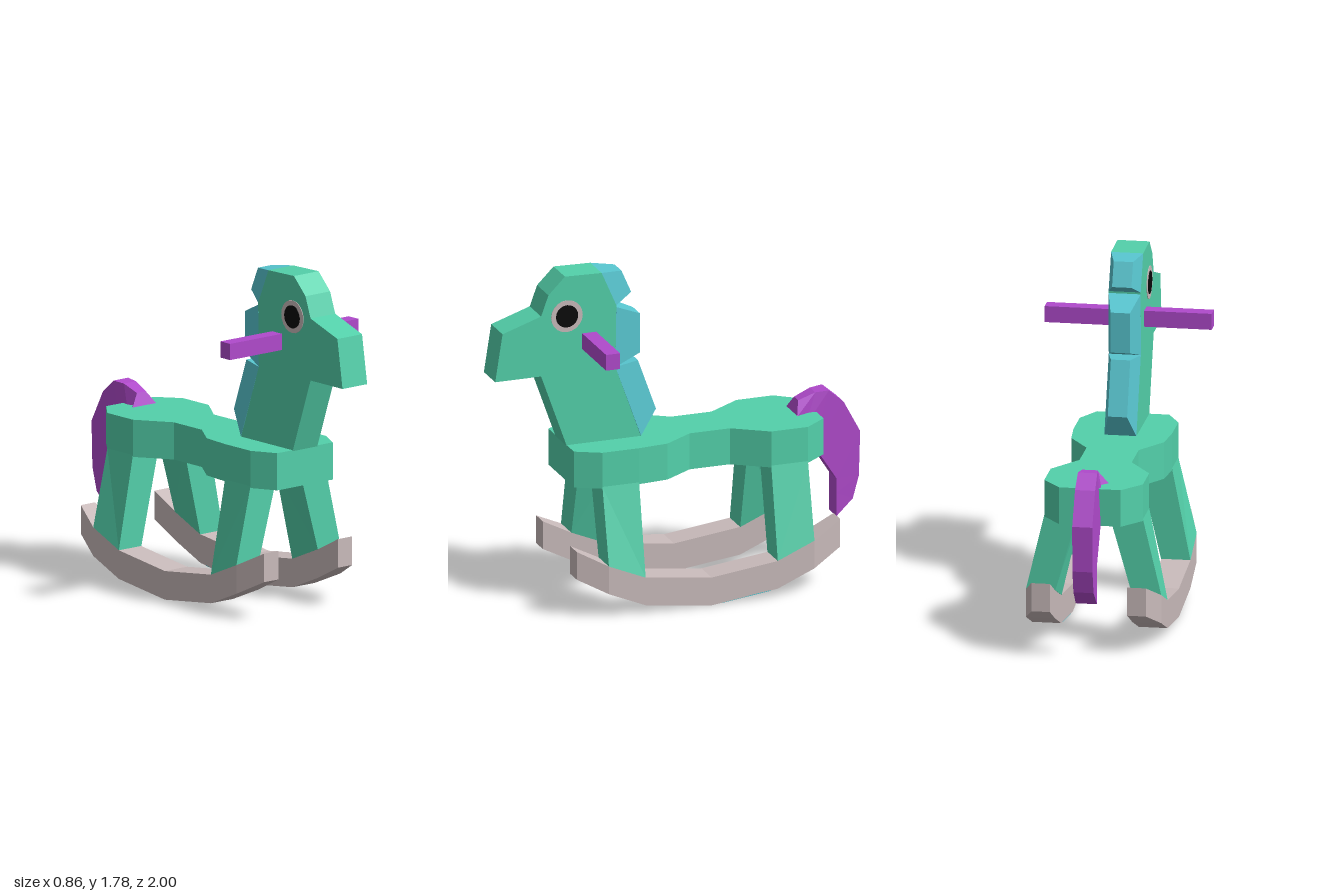
import * as THREE from 'three';

const material = (name, color) => {
  const m = new THREE.MeshStandardMaterial({ color });
  m.name = name;
  return m;
};

// Skins a row of equal-sized cross-sections ([x, y, z] loops) with flat faces and end caps.
function loft(sections) {
  const tris = [];
  const n = sections[0].length;
  for (let i = 0; i < sections.length - 1; i++) {
    for (let j = 0; j < n; j++) {
      const a = sections[i][j], b = sections[i][(j + 1) % n];
      const c = sections[i + 1][(j + 1) % n], d = sections[i + 1][j];
      tris.push([a, b, c], [a, c, d]);
    }
  }
  const first = sections[0], last = sections[sections.length - 1];
  for (let j = 1; j < n - 1; j++) {
    tris.push([first[0], first[j + 1], first[j]], [last[0], last[j], last[j + 1]]);
  }
  // Turn the faces outward whichever way the sections run
  let volume = 0;
  for (const [a, b, c] of tris) {
    volume += new THREE.Vector3(...a).dot(new THREE.Vector3(...b).cross(new THREE.Vector3(...c)));
  }
  if (volume < 0) tris.forEach((t) => t.reverse());
  const geometry = new THREE.BufferGeometry();
  geometry.setAttribute('position', new THREE.Float32BufferAttribute(tris.flat(2), 3));
  geometry.computeVertexNormals();
  return geometry;
}

const shapeOf = (points) => new THREE.Shape(points.map(([x, y]) => new THREE.Vector2(x, y)));

export function createModel() {
  const group = new THREE.Group();
  const green = material('green paint', 0x53d0aa);
  const blue = material('blue mane', 0x58c6d0);
  const purple = material('purple paint', 0xb04acc);
  const wood = material('pale rocker', 0xc9bbbb);
  const black = material('black pupil', 0x080808);

  const add = (name, geometry, mat) => {
    const mesh = new THREE.Mesh(geometry, mat);
    mesh.name = name;
    group.add(mesh);
    return mesh;
  };

  // Body: waisted outline (x, z) extruded upward
  const half = [
    [0.16, -0.76], [0.255, -0.64], [0.255, -0.44], [0.135, -0.26], [0.135, -0.04],
    [0.24, 0.12], [0.255, 0.28], [0.255, 0.48], [0.187, 0.61],
  ];
  const outline = [...half, ...half.map(([x, z]) => [-x, z]).reverse()];
  const body = new THREE.ExtrudeGeometry(shapeOf(outline), { depth: 0.195, bevelEnabled: false });
  body.rotateX(Math.PI / 2).translate(0, 0.865, 0);
  add('body', body, green);

  // Neck and head: side profile (z, y) extruded across
  const w = 0.083;
  const profile = [
    [0.61, 0.86], [0.75, 1.255], [1, 1.255], [0.96, 1.51], [0.75, 1.58], [0.71, 1.69],
    [0.62, 1.78], [0.42, 1.775], [0.34, 1.59], [0.345, 1.255], [0.205, 0.86],
  ];
  const head = new THREE.ExtrudeGeometry(shapeOf(profile), { depth: 2 * w, bevelEnabled: false });
  head.rotateY(-Math.PI / 2).translate(w, 0, 0);
  add('neckAndHead', head, green);

  // Mane: three locks that narrow toward the back, corners as (z, y)
  const locks = [
    [[0.42, 1.775], [0.3, 1.762], [0.247, 1.64], [0.34, 1.59]],
    [[0.34, 1.58], [0.2, 1.518], [0.2, 1.305], [0.345, 1.255]],
    [[0.345, 1.255], [0.21, 1.265], [0.112, 0.99], [0.205, 0.865]],
  ];
  for (const [innerTop, outerTop, outerLow, innerLow] of locks) {
    const ring = (inner, outer) => [
      [w, inner[1], inner[0]], [0.05, outer[1], outer[0]],
      [-0.05, outer[1], outer[0]], [-w, inner[1], inner[0]],
    ];
    add('maneLock', loft([ring(innerTop, outerTop), ring(innerLow, outerLow)]), blue);
  }

  // Handle through the head
  add('handle', new THREE.BoxGeometry(0.864, 0.085, 0.076).translate(0, 1.418, 0.488), purple);

  // Tail: rows of outer z, y, half width, then inner z, y, half width
  const tail = [
    [-0.67, 0.93, 0.03, -0.645, 0.86, 0.083],
    [-0.76, 0.965, 0.04, -0.7, 0.8, 0.06],
    [-0.83, 0.97, 0.05, -0.75, 0.68, 0.055],
    [-0.91, 0.9, 0.052, -0.79, 0.615, 0.055],
    [-1, 0.73, 0.052, -0.87, 0.49, 0.055],
    [-0.993, 0.49, 0.052, -0.87, 0.41, 0.055],
    [-0.96, 0.37, 0.052, -0.87, 0.285, 0.055],
  ];
  add('tail', loft(tail.map(([zo, yo, wo, zi, yi, wi]) => [
    [wo, yo, zo], [-wo, yo, zo], [-wi, yi, zi], [wi, yi, zi],
  ])), purple);

  // Rocker stations: z, underside y, outer x
  const stations = [
    [0.635, 0.21, 0.296], [0.48, 0.13, 0.35], [0.28, 0.045, 0.35], [-0.08, 0, 0.35],
    [-0.44, 0.045, 0.35], [-0.64, 0.13, 0.35], [-0.8, 0.21, 0.296],
  ];

  for (const s of [1, -1]) {
    const side = s > 0 ? 'left' : 'right';

    add(side + 'Rocker', loft(stations.map(([z, y, x]) => [
      [s * 0.2, y, z], [s * x, y, z], [s * x, y + 0.15, z], [s * 0.2, y + 0.15, z],
    ])), wood);

    // Splayed legs, cut to the slope of the rocker
    const legs = [['Front', 0.48, 0.28], ['Back', -0.64, -0.44]];
    for (const [end, zFar, zNear] of legs) {
      const face = (z, foot) => [
        [s * 0.085, 0.68, z], [s * 0.255, 0.68, z], [s * 0.35, foot, z], [s * 0.198, foot, z],
      ];
      add(side + end + 'Leg', loft([face(zFar, 0.28), face(zNear, 0.195)]), green);
    }

    // Eye: pale disc with a dark pupil
    const disc = (name, radius, x, mat) => {
      const g = new THREE.CylinderGeometry(radius, radius, 0.004, 20).rotateZ(Math.PI / 2);
      add(side + name, g.translate(s * x, 1.565, 0.61), mat);
    };
    disc('Eye', 0.086, w + 0.001, wood);
    disc('Pupil', 0.06, w + 0.004, black);
  }

  // Painted patch under the left rocker
  const patch = (z) => {
    const y = (-0.08 - z) * 0.125;
    return [[0.2, y - 0.002, z], [0.35, y - 0.002, z], [0.35, y + 0.002, z], [0.2, y + 0.002, z]];
  };
  add('rockerPatch', loft([patch(-0.14), patch(-0.4)]), blue);

  return group;
}
